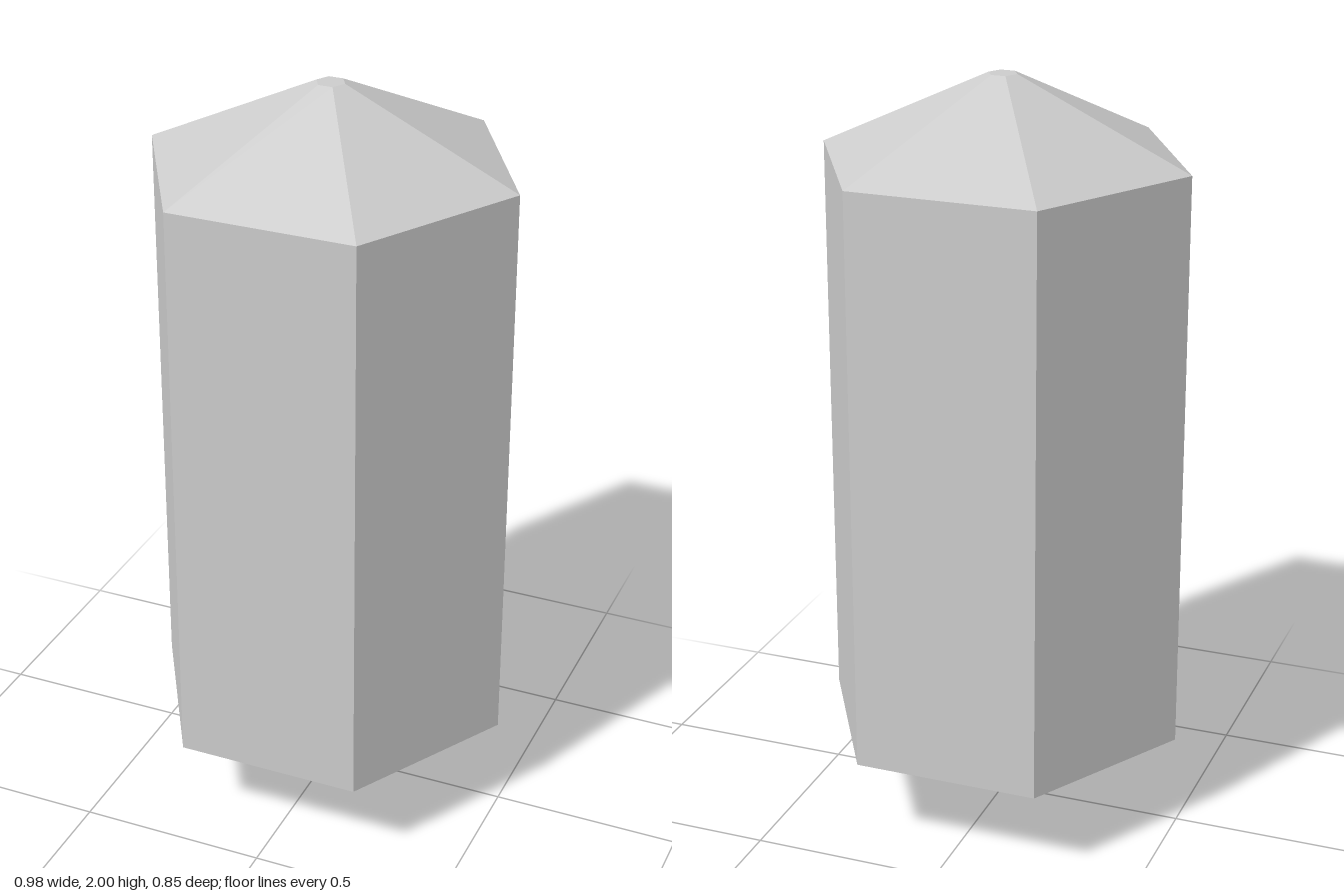
import * as THREE from 'three';

const SIDES = 6;
const RADIUS = 0.491;
const TIP_RADIUS = 0.038;
const TOTAL_HEIGHT = 2;
const SHAFT_BOTTOM = 0.24;
const SHAFT_TOP = 1.786;

export function createModel() {
  const model = new THREE.Group();
  model.name = 'hexagonalCrystal';
  const material = new THREE.MeshStandardMaterial({ color: 0xcccccc, flatShading: true });

  // Hexagonal frustum from y0 to y1 with corners on the x axis
  function addSection(name, y0, y1, bottomRadius, topRadius, openEnded) {
    const geometry = new THREE.CylinderGeometry(topRadius, bottomRadius, y1 - y0, SIDES, 1, openEnded);
    geometry.rotateY(Math.PI / SIDES);
    geometry.translate(0, (y0 + y1) / 2, 0);
    const mesh = new THREE.Mesh(geometry, material);
    mesh.name = name;
    model.add(mesh);
    return mesh;
  }

  // Lower point, straight shaft and upper point; only the blunt tips need caps
  const lower = addSection('lowerPoint', 0, SHAFT_BOTTOM, TIP_RADIUS, RADIUS, true);
  addSection('shaft', SHAFT_BOTTOM, SHAFT_TOP, RADIUS, RADIUS, true);
  const upper = addSection('upperPoint', SHAFT_TOP, TOTAL_HEIGHT, RADIUS, TIP_RADIUS, true);

  // Small flat hexagons closing the two tips
  for (const [parent, name, y, tilt] of [
    [lower, 'lowerTip', 0, Math.PI / 2],
    [upper, 'upperTip', TOTAL_HEIGHT, -Math.PI / 2],
  ]) {
    const tip = new THREE.Mesh(new THREE.CircleGeometry(TIP_RADIUS, SIDES), material);
    tip.name = name;
    tip.rotation.x = tilt;
    tip.position.y = y;
    parent.add(tip);
  }

  return model;
}
